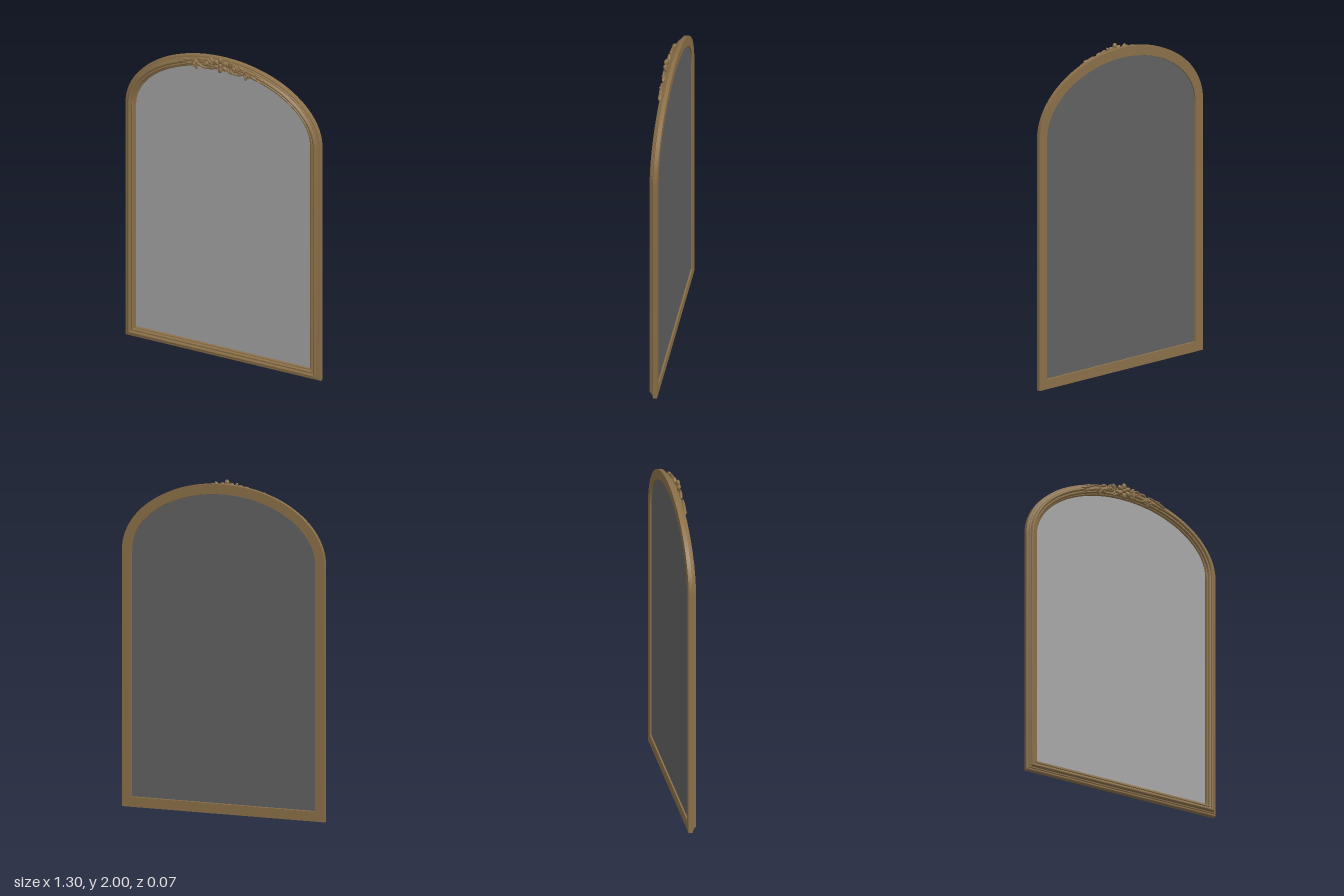
import * as THREE from 'three';
import { toCreasedNormals } from 'three/addons/utils/BufferGeometryUtils.js';

const HALF = 0.65, SPRING = 1.54, RISE = 0.44, SEG = 72;

// Closed arch outline, counter-clockwise, moved inwards by d
function outline(d) {
  const pts = [new THREE.Vector2(-HALF + d, d), new THREE.Vector2(HALF - d, d)];
  for (let i = 0; i <= SEG; i++) {
    const t = (i / SEG) * Math.PI, c = Math.cos(t), s = Math.sin(t);
    const n = new THREE.Vector2(c / HALF, s / RISE).normalize();
    pts.push(new THREE.Vector2(HALF * c - n.x * d, SPRING + RISE * s - n.y * d));
  }
  return pts;
}

// Sweep a closed moulding profile [inset, z] around the outline with mitred corners
function mouldingGeometry(profile) {
  const rings = profile.map(([d, z]) => outline(d).map(p => [p.x, p.y, z]));
  const n = rings[0].length, m = rings.length, index = [];
  for (let j = 0; j < m; j++) {
    for (let i = 0; i < n; i++) {
      const k = (i + 1) % n, l = (j + 1) % m;
      const a = j * n + i, b = j * n + k, c = l * n + k, e = l * n + i;
      index.push(a, b, c, a, c, e);
    }
  }
  const g = new THREE.BufferGeometry();
  g.setAttribute('position', new THREE.Float32BufferAttribute(rings.flat(2), 3));
  g.setIndex(index);
  return toCreasedNormals(g, 0.5);
}

// Tube along a curve, tapering from r0 to r1
function taperedTube(points, r0, r1) {
  const curve = new THREE.CatmullRomCurve3(points);
  const steps = 48, sides = 8;
  const g = new THREE.TubeGeometry(curve, steps, 1, sides);
  const pos = g.attributes.position, v = new THREE.Vector3();
  for (let i = 0; i < pos.count; i++) {
    const t = Math.floor(i / (sides + 1)) / steps;
    const c = curve.getPointAt(t);
    v.fromBufferAttribute(pos, i).sub(c).multiplyScalar(r0 + (r1 - r0) * t).add(c);
    pos.setXYZ(i, v.x, v.y, v.z);
  }
  g.computeVertexNormals();
  return g;
}

export function createModel() {
  const model = new THREE.Group();
  const bronze = new THREE.MeshStandardMaterial({ color: 0x8a6f48 });
  bronze.name = 'antique bronze';
  const glass = new THREE.MeshStandardMaterial({ color: 0xa2a2a2 });
  glass.name = 'mirror grey';
  const backing = new THREE.MeshStandardMaterial({ color: 0x606060 });
  backing.name = 'backing grey';

  function add(name, geometry, material, parent = model) {
    const mesh = new THREE.Mesh(geometry, material);
    mesh.name = name;
    parent.add(mesh);
    return mesh;
  }

  // Stepped frame: outer band, small step, raised bead, groove, inner bead, back
  add('frame', mouldingGeometry([
    [0, -0.036], [0, -0.012], [0.004, -0.009], [0.012, -0.008], [0.014, -0.002],
    [0.02, 0], [0.023, 0.008], [0.028, 0.013], [0.034, 0.014], [0.039, 0.011],
    [0.042, 0.004], [0.046, 0.003], [0.049, 0.007], [0.054, 0.007], [0.057, 0.002],
    [0.06, -0.004], [0.065, -0.005], [0.07, -0.011], [0.07, -0.016], [0.06, -0.026],
    [0.06, -0.036],
  ]), bronze);

  // Glass in front, backing panel behind
  const panel = new THREE.ShapeGeometry(new THREE.Shape(outline(0.062)));
  add('mirrorGlass', panel, glass).position.z = -0.014;
  const back = add('backPanel', panel.clone().rotateY(Math.PI), backing);
  back.position.z = -0.027;

  // Carved crest at the top of the arch
  const crest = new THREE.Group();
  crest.name = 'crest';
  model.add(crest);

  function bud(name, x, y, z, length, width, depth, angle) {
    const g = new THREE.SphereGeometry(1, 14, 10).scale(length, width, depth);
    const mesh = add(name, g, bronze, crest);
    mesh.position.set(x, y, z);
    mesh.rotation.z = angle;
  }

  // Rosette of six petals
  for (let i = 0; i < 6; i++) {
    const a = Math.PI / 2 + (i * Math.PI) / 3;
    bud('petal', 0.03 * Math.cos(a), 1.95 + 0.03 * Math.sin(a), 0.022, 0.02, 0.015, 0.012, a);
  }
  bud('rosetteCentre', 0, 1.95, 0.026, 0.013, 0.013, 0.01, 0);

  for (const s of [1, -1]) {
    // Scroll: lead-in points, then a spiral winding into its centre
    const scroll = (name, lead, cx, cy, r, start, turn, thick) => {
      const pts = lead.map(([x, y]) => new THREE.Vector3(s * x, y, 0.017));
      for (let i = 0; i <= 18; i++) {
        const t = i / 18, a = start + turn * t, q = r * (1 - 0.8 * t);
        pts.push(new THREE.Vector3(s * (cx + q * Math.cos(a)), cy + q * Math.sin(a), 0.018 + 0.006 * t));
      }
      add(name, taperedTube(pts, thick, thick * 0.7), bronze, crest);
      bud(name + 'Eye', s * cx, cy, 0.022, thick * 1.2, thick * 1.2, 0.011, 0);
    };
    scroll('largeScroll', [[0.175, 1.935], [0.15, 1.925], [0.12, 1.912]], 0.09, 1.944, 0.033, -1.3, -8.5, 0.008);
    scroll('smallScroll', [[0.275, 1.91], [0.245, 1.922], [0.21, 1.938]], 0.175, 1.922, 0.025, 1.2, 8, 0.007);

    // Leaves along the arch: x, y, length, width, angle
    for (const [x, y, l, w, a] of [
      [0.06, 1.968, 0.022, 0.009, 0.9], [0.055, 1.918, 0.022, 0.009, -0.6],
      [0.135, 1.957, 0.022, 0.009, -0.3], [0.165, 1.9, 0.016, 0.008, 1.3],
      [0.215, 1.914, 0.022, 0.009, -0.4], [0.235, 1.935, 0.022, 0.007, -0.1],
      [0.262, 1.918, 0.028, 0.007, -0.35], [0.25, 1.9, 0.018, 0.006, -0.5],
    ]) bud('leaf', s * x, y, 0.014, l, w, 0.01, s * a);
  }

  return model;
}
